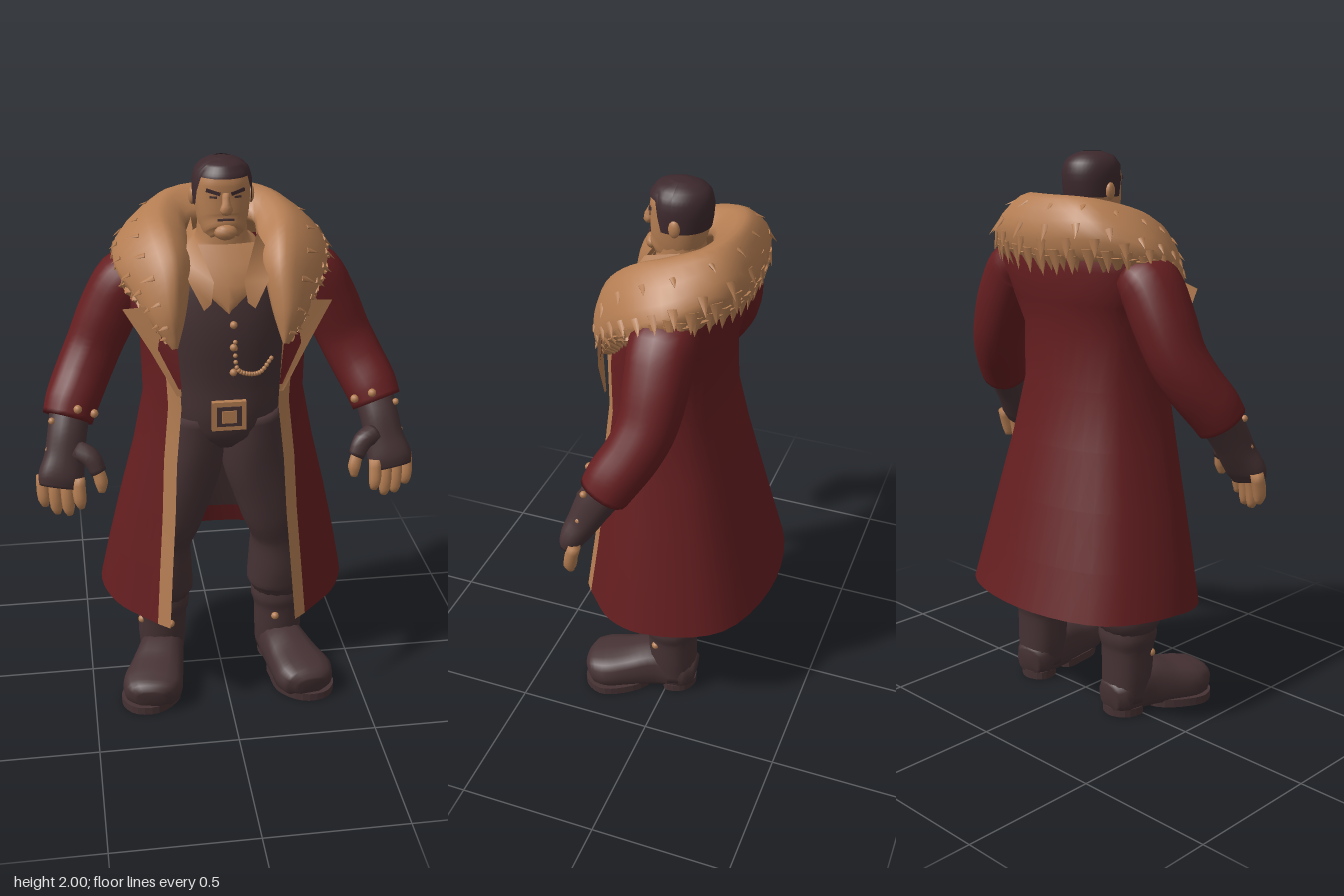
import * as THREE from 'three';
import { mergeGeometries } from 'three/addons/utils/BufferGeometryUtils.js';

const V = (x, y, z) => new THREE.Vector3(x, y, z);
const mat = (name, color) => Object.assign(new THREE.MeshStandardMaterial({ color, side: THREE.DoubleSide }), { name });

// Surface through rows of points; closed surfaces wrap around and get end caps
function surface(rows, closed = false) {
  const n = rows[0].length, pts = rows.flat(), idx = [];
  const cols = closed ? n : n - 1;
  for (let i = 0; i < rows.length - 1; i++) for (let j = 0; j < cols; j++) {
    const a = i * n + j, b = i * n + (j + 1) % n;
    idx.push(a, b, a + n, b, b + n, a + n);
  }
  if (closed) for (const [row, start, flip] of [[rows[0], 0, true], [rows.at(-1), (rows.length - 1) * n, false]]) {
    const c = pts.length;
    pts.push(row.reduce((s, p) => s.add(p), V(0, 0, 0)).divideScalar(n));
    for (let j = 0; j < n; j++) {
      const a = start + j, b = start + (j + 1) % n;
      idx.push(...(flip ? [b, a, c] : [a, b, c]));
    }
  }
  // Turn faces outwards
  const mid = pts.reduce((s, p) => s.add(p), V(0, 0, 0)).divideScalar(pts.length);
  const q = pts.map(p => p.clone().sub(mid));
  let vol = 0;
  for (let i = 0; i < idx.length; i += 3) vol += q[idx[i]].dot(V(0, 0, 0).crossVectors(q[idx[i + 1]], q[idx[i + 2]]));
  if (vol < 0) idx.reverse();
  const g = new THREE.BufferGeometry().setFromPoints(pts);
  g.setIndex(idx);
  g.computeVertexNormals();
  return g;
}

// Rounded limb through [x, y, z, halfWidth, halfDepth]
function limb(list, { s = 1, n = 16, ref = V(0, 0, 1), pow = 0.9, sub = 4 } = {}) {
  const path = new THREE.CatmullRomCurve3(list.map(p => V(p[0] * s, p[1], p[2])));
  const size = new THREE.CatmullRomCurve3(list.map(p => V(p[3], p[4], 0)));
  const steps = (list.length - 1) * sub, rows = [];
  const sp = v => Math.sign(v) * Math.abs(v) ** pow;
  for (let i = 0; i <= steps; i++) {
    const c = path.getPoint(i / steps), r = size.getPoint(i / steps), t = path.getTangent(i / steps);
    const a = t.clone().cross(ref).normalize(), b = a.clone().cross(t).normalize();
    rows.push(Array.from({ length: n }, (_, k) => {
      const w = k / n * Math.PI * 2;
      return c.clone().addScaledVector(a, r.x * sp(Math.cos(w))).addScaledVector(b, r.y * sp(Math.sin(w)));
    }));
  }
  return surface(rows, true);
}

const HEAD = [[1.735, .085, .05, .045], [1.755, .07, .07, .075], [1.8, .045, .084, .09], [1.86, .033, .091, .097],
  [1.92, .03, .092, .1], [1.955, .03, .084, .093], [1.98, .03, .06, .07], [1.99, .03, .02, .025]];
// [y, front edge x, front edge z, half width, widest z, back z]
const COAT = [[1.7, .15, .1, .32, -.03, -.17], [1.62, .17, .18, .36, -.01, -.19], [1.5, .18, .22, .32, .02, -.17],
  [1.4, .175, .235, .285, .04, -.145], [1.2, .165, .24, .28, .05, -.155], [1, .185, .26, .32, .05, -.2],
  [.8, .195, .28, .37, .04, -.25], [.6, .21, .305, .415, .02, -.3], [.43, .225, .335, .45, 0, -.345]];
// Fur collar sections from nape to lapel tip: inner, top, outer, lower
const FUR = [
  [[0, 1.78, -.07], [0, 1.865, -.17], [0, 1.75, -.24], [0, 1.65, -.215]],
  [[.11, 1.77, -.03], [.15, 1.86, -.13], [.22, 1.76, -.205], [.21, 1.66, -.185]],
  [[.115, 1.73, .05], [.21, 1.825, 0], [.35, 1.71, -.07], [.34, 1.64, -.06]],
  [[.115, 1.68, .13], [.2, 1.775, .13], [.36, 1.66, .05], [.335, 1.59, .04]],
  [[.125, 1.62, .18], [.185, 1.69, .225], [.305, 1.59, .165], [.28, 1.54, .13]],
  [[.145, 1.52, .22], [.185, 1.55, .27], [.25, 1.5, .235], [.235, 1.47, .18]],
  [[.175, 1.42, .25], [.18, 1.425, .26], [.195, 1.42, .255], [.185, 1.42, .245]]];

function coatRow([y, xe, ze, rx, zc, zb], inset = 0) {
  const x1 = xe + .042, z1 = ze - .03;
  rx -= inset; zb += inset;
  const half = [[x1, z1], [x1 + (rx - x1) * .75, zc + (z1 - zc) * .55], [rx, zc], [rx * .76, zc + (zb - zc) * .72]];
  const all = [...half, [0, zb], ...half.map(([x, z]) => [-x, z]).reverse()];
  const drop = z => y < .5 ? y - .13 * Math.max(0, z) : y;
  const pts = new THREE.CatmullRomCurve3(all.map(([x, z]) => V(x, y, z))).getPoints(40);
  pts.forEach(p => { p.y = drop(p.z); });
  return { pts, edge: s => [V(s * xe, drop(ze), ze), V(s * x1, drop(z1), z1)] };
}

function furGeometry() {
  const full = [...FUR.slice(1).reverse().map(st => st.map(([x, y, z]) => [-x, y, z])), ...FUR];
  const rails = [0, 1, 2, 3].map(k => new THREE.CatmullRomCurve3(full.map(st => V(...st[k]))));
  const loop = s => {
    const p = rails.map(r => r.getPoint(s));
    return new THREE.CatmullRomCurve3([...p, p[0].clone().add(p[3]).multiplyScalar(.5)], true);
  };
  const rows = [];
  for (let i = 0; i <= 48; i++) rows.push(loop(i / 48).getPoints(20).slice(0, 20));
  const tufts = [surface(rows, true)];
  // Flat pointed tufts: large along the hem, small and sparse above
  for (const [t0, count, length, radius, lift] of [[.3, 17, .05, .015, .12], [.39, 22, .055, .017, .12], [.47, 26, .06, .022, .15], [.54, 40, .075, .026, .15], [.6, 44, .08, .028, .05]])
    for (let i = 0; i < count; i++) {
      const jit = Math.sin(i * 12.9 + t0 * 782), s = .02 + .96 * (i + .5 + .3 * jit) / count, t = t0 + .015 * jit;
      const c = loop(s), p = c.getPoint(t), mid = c.getPoint(.15).add(c.getPoint(.75)).multiplyScalar(.5);
      const out = p.clone().sub(mid).normalize();
      const dir = c.getTangent(t - .05).addScaledVector(out, lift).normalize();
      const side = dir.clone().cross(out).normalize(), nor = side.clone().cross(dir);
      const k = (1 + .25 * jit) * (s < .12 || s > .88 ? .6 : 1);
      const g = new THREE.ConeGeometry(radius * k, length * k, 6).translate(0, length * k * .2, 0).scale(1, 1, .4);
      g.applyMatrix4(new THREE.Matrix4().makeBasis(side, dir, nor).setPosition(p));
      g.deleteAttribute('uv');
      tufts.push(g);
    }
  return mergeGeometries(tufts);
}

export function createModel() {
  const root = new THREE.Group();
  root.name = 'manInCoat';
  const red = mat('coatRed', 0x651e20), tan = mat('tan', 0xb47d52), dark = mat('darkCloth', 0x463234), hair = mat('hairBrown', 0x3d292d);
  const add = (name, geo, m, pos = [0, 0, 0], rot = [0, 0, 0]) => {
    const o = new THREE.Mesh(geo, m);
    o.name = name;
    o.position.set(...pos);
    o.rotation.set(...rot);
    root.add(o);
  };
  const box = (...d) => new THREE.BoxGeometry(...d);
  const stud = (name, x, y, z, r = .014) => add(name, new THREE.SphereGeometry(r, 10, 8), tan, [x, y, z]);

  // Head, hair and face
  add('head', limb(HEAD.map(([y, z, a, b]) => [0, y, z, a, b]), { n: 24, pow: .85 }), tan);
  const headAt = y => {
    const i = Math.max(0, HEAD.findIndex(r => r[0] >= y) - 1), f = (y - HEAD[i][0]) / (HEAD[i + 1][0] - HEAD[i][0]);
    return HEAD[i].map((v, k) => v + (HEAD[i + 1][k] - v) * f);
  };
  const hairRows = [];
  for (let i = 0; i <= 8; i++) hairRows.push(Array.from({ length: 41 }, (_, k) => {
    const w = k / 40 * Math.PI * 2, front = THREE.MathUtils.smoothstep(Math.sin(w), .3, .6);
    const y = THREE.MathUtils.lerp(1.85 + .098 * front, 1.99, 1 - (1 - i / 8) ** 1.5), [, z, a, b] = headAt(y);
    return V((a + .008) * Math.cos(w), y + .01 * i / 8, z + (b + .01) * Math.sin(w));
  }));
  add('hair', surface(hairRows), hair);
  add('hairTop', new THREE.SphereGeometry(.05, 16, 8).scale(1.1, .3, 1.2), hair, [0, 1.985, .03]);
  add('nose', limb([[0, 1.9, .125, .012, .012], [0, 1.87, .138, .014, .016], [0, 1.85, .143, .022, .02], [0, 1.838, .135, .014, .012]], { n: 8, sub: 2 }), tan);
  add('chin', new THREE.SphereGeometry(.035, 12, 8).scale(1.1, .75, .7), tan, [0, 1.772, .128]);
  add('mouth', box(.055, .006, .008), dark, [0, 1.815, .133]);
  for (const s of [1, -1]) {
    add('eyebrow', box(.048, .011, .009), hair, [s * .04, 1.905, .122], [0, s * .3, s * .25]);
    add('eye', box(.024, .007, .008), dark, [s * .04, 1.888, .121], [0, s * .3, 0]);
    add('ear', new THREE.SphereGeometry(.025, 10, 8).scale(.5, 1.2, .8), tan, [s * .098, 1.87, .02]);
  }
  add('neck', limb([[0, 1.62, .0, .17, .14], [0, 1.7, .02, .13, .11], [0, 1.74, .03, .088, .085], [0, 1.82, .03, .08, .075]]), tan);

  // Torso with vest, open shirt and collar
  add('vest', limb([[0, 1, .03, .14, .11], [0, 1.06, .033, .19, .155], [0, 1.15, .037, .205, .165], [0, 1.25, .04, .21, .16], [0, 1.45, .04, .24, .17],
    [0, 1.58, .02, .25, .17], [0, 1.66, 0, .19, .13], [0, 1.69, 0, .1, .07]], { n: 28 }), dark);
  add('shirtFront', surface([[1.52, .004, .216], [1.56, .045, .213], [1.61, .095, .2], [1.67, .125, .17], [1.73, .1, .125]]
    .map(([y, w, z]) => [-1, -.5, 0, .5, 1].map(u => V(u * w, y, z - .015 * u * u)))), tan);
  for (const s of [1, -1]) {
    add('shirtCollar', surface([[V(s * .1, 1.79, .0), V(s * .13, 1.72, .02)], [V(s * .105, 1.765, .12), V(s * .15, 1.69, .13)],
      [V(s * .05, 1.63, .21), V(s * .13, 1.63, .215)], [V(s * .06, 1.56, .224), V(s * .085, 1.54, .228)]]), tan);
  }
  for (const y of [1.48, 1.4, 1.31]) stud('vestButton', .015, y, .212, .013);
  const chain = new THREE.CatmullRomCurve3([V(.02, 1.42, .215), V(.03, 1.32, .212), V(.07, 1.3, .208), V(.11, 1.3, .195), V(.15, 1.34, .175)]);
  chain.getPoints(18).forEach(p => stud('chainLink', p.x, p.y, p.z, .008));
  add('buckle', box(.118, .105, .02), tan, [0, 1.153, .213]);
  add('buckleInset', box(.085, .072, .006), dark, [0, 1.153, .224]);
  add('bucklePin', box(.05, .045, .008), tan, [0, 1.153, .227]);

  // Long coat, lining and edge trim
  const rows = COAT.map(r => coatRow(r));
  add('coat', surface(rows.map(r => r.pts)), red);
  const lining = [...COAT.slice(1, 8), [.52, .218, .32, .43, .01, -.322]];
  add('coatLining', surface(lining.map(r => coatRow(r, .014).pts.slice(6, 35))), dark);
  add('fur', furGeometry(), tan);

  for (const s of [1, -1]) {
    add('coatTrim', surface(rows.slice(2).map(r => r.edge(s))), tan);
    // Folded lapel with a light border
    const flap = (g, z) => surface([[V(s * .19, 1.57 - g, .235 + z), V(s * (.35 - g * 1.6), 1.545 - g * .9, .19 + z)],
      [V(s * .175, 1.4, .25 + z), V(s * (.265 - g), 1.41, .23 + z)], [V(s * .165, 1.25 + g, .25 + z), V(s * (.18 - g * .2), 1.25 + g, .25 + z)]]);
    add('lapelEdge', flap(0, 0), tan);
    add('lapel', flap(.028, .006), red);

    // Sleeve and gloved hand
    add('sleeve', limb([[.27, 1.61, -.03, .075, .1], [.325, 1.575, -.025, .1, .112], [.385, 1.47, -.025, .102, .108], [.44, 1.35, -.015, .097, .098],
      [.485, 1.26, .02, .096, .094], [.525, 1.18, .07, .094, .092], [.545, 1.125, .1, .088, .086]], { s, n: 18 }), red);
    stud('cuffButton', s * .51, 1.185, .165, .015);
    stud('cuffButton', s * .455, 1.155, .14, .015);
    stud('cuffButton', s * .6, 1.14, .15, .012);
    add('glove', limb([[.535, 1.15, .085, .07, .07], [.55, 1.08, .13, .068, .066], [.563, 1.01, .165, .07, .056],
      [.578, .95, .195, .079, .047], [.585, .915, .207, .07, .034]], { s }), dark);
    stud('gloveButton', s * .615, 1.04, .165, .013);
    for (let i = 0; i < 4; i++) {
      const x = .52 + .041 * i, z = .225 - .014 * i, end = [.845, .815, .815, .84][i];
      add('finger', limb([[x, .95, z - .01, .022, .022], [x, .9, z + .005, .023, .023], [x - .002, end + .025, z + .012, .021, .021], [x - .005, end, z + .01, .012, .012]], { s, n: 8, sub: 2 }), tan);
    }
    add('thumbGlove', limb([[.52, 1.04, .18, .035, .035], [.475, 1.02, .205, .034, .032], [.45, .97, .22, .028, .028]], { s, n: 10 }), dark);
    add('thumb', limb([[.455, .98, .218, .022, .022], [.444, .94, .228, .023, .023], [.443, .9, .235, .012, .012]], { s, n: 8 }), tan);

    // Trousers and boots
    add('trouserLeg', limb([[.098, 1.12, .033, .105, .15], [.105, 1, .033, .113, .15], [.125, .9, .03, .122, .145], [.155, .8, .03, .12, .135], [.187, .68, .025, .112, .125],
      [.212, .58, .01, .1, .115], [.22, .46, -.005, .11, .125], [.225, .37, -.01, .12, .118], [.225, .325, -.01, .1, .095]], { s, n: 18 }), dark);
    add('bootShaft', limb([[.225, .05, -.02, .08, .08], [.225, .15, -.012, .09, .088], [.225, .25, -.01, .093, .09], [.225, .3, -.01, .105, .1], [.225, .34, -.01, .1, .096]], { s }), dark);
    add('bootFoot', limb([[.215, .07, -.1, .05, .05], [.22, .075, -.06, .078, .07], [.235, .09, .05, .085, .09], [.262, .078, .15, .1, .077],
      [.285, .07, .23, .112, .069], [.296, .066, .28, .095, .06], [.3, .06, .307, .05, .038]], { s, ref: V(0, 1, 0), pow: .75 }), dark);
    // Separate heel and front sole
    const sole = (outline, count) => {
      const path = new THREE.CatmullRomCurve3(outline.map(([x, z]) => V(x * s, -z, 0)), true);
      const shape = new THREE.Shape(path.getPoints(count).map(p => new THREE.Vector2(p.x, p.y)));
      return new THREE.ExtrudeGeometry(shape, { depth: .03, bevelEnabled: false }).rotateX(-Math.PI / 2);
    };
    add('frontSole', sole([[.3, .07], [.375, .15], [.402, .23], [.36, .3], [.27, .308], [.19, .24], [.172, .15], [.175, .07]], 28), dark);
    add('heel', sole([[.22, -.1], [.28, -.07], [.295, 0], [.235, .02], [.165, 0], [.16, -.07]], 20), dark);
    stud('bootButton', s * .2, .235, .078, .015);
    stud('bootButton', s * .305, .235, .03, .015);
  }
  return root;
}
